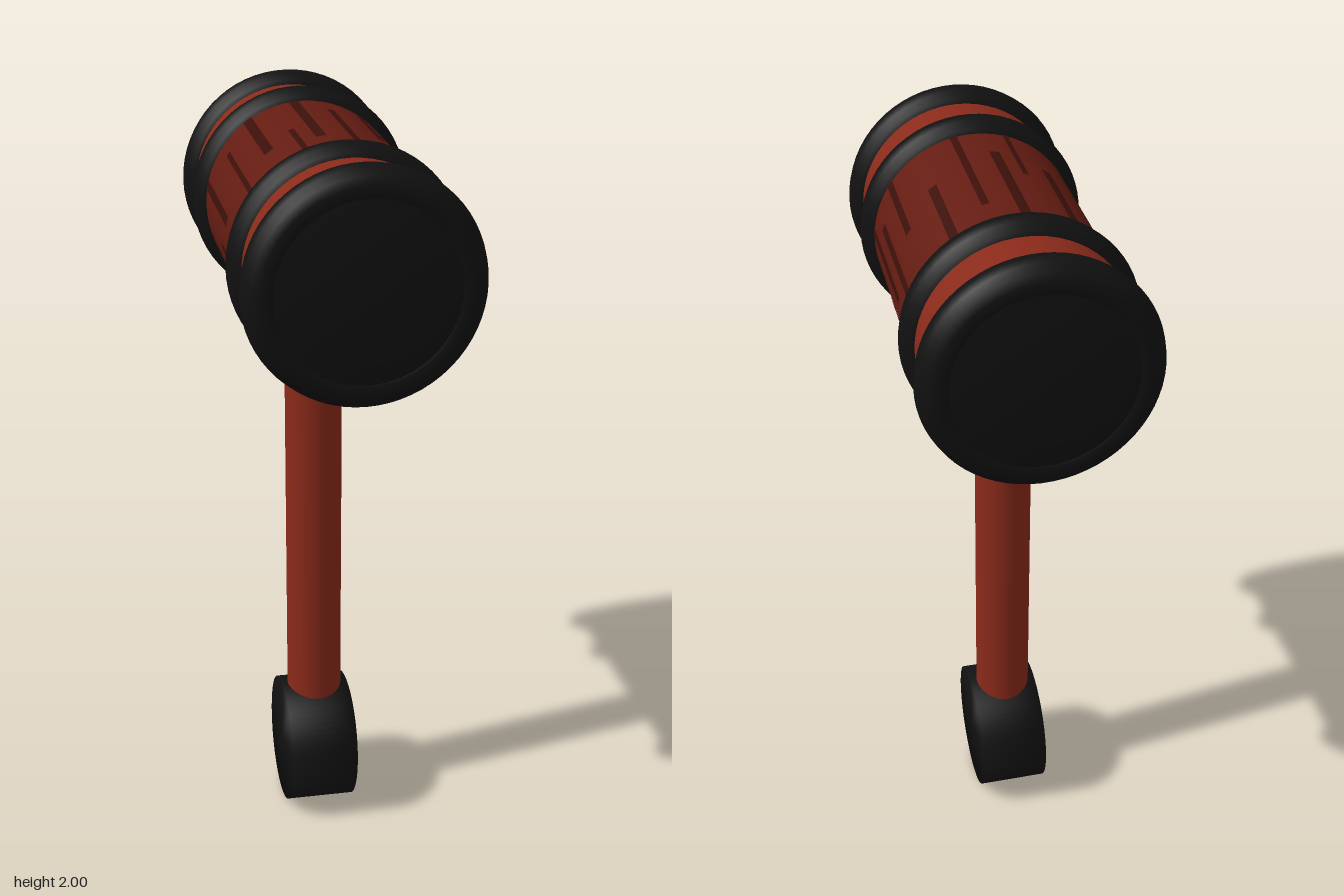
import * as THREE from 'three';

const HEAD_Y = 1.71;
const HEAD_R = 0.262;

const paint = (color) => new THREE.MeshStandardMaterial({ color });

function addMesh(parent, name, geometry, material) {
  const mesh = new THREE.Mesh(geometry, material);
  mesh.name = name;
  parent.add(mesh);
  return mesh;
}

// Closed solid of revolution around y from [radius, height] pairs
const turned = (pairs, sides = 64) =>
  new THREE.LatheGeometry(pairs.map(([r, y]) => new THREE.Vector2(r, y)), sides);

export function createModel() {
  const model = new THREE.Group();
  model.name = 'mallet';

  const wood = paint(0x8a2a1a);
  const darkWood = paint(0x641c12);
  const grain = paint(0x3c100a);
  const black = paint(0x111111);

  // Head, lying along z
  const head = new THREE.Group();
  head.name = 'head';
  head.position.y = HEAD_Y;
  model.add(head);

  const barrel = new THREE.CylinderGeometry(HEAD_R, HEAD_R, 1.08, 64, 1, true).rotateX(Math.PI / 2);
  addMesh(head, 'headBarrel', barrel, wood);

  const sleeve = new THREE.CylinderGeometry(HEAD_R + 0.001, HEAD_R + 0.001, 0.58, 64, 1, true).rotateX(Math.PI / 2);
  addMesh(head, 'headMiddle', sleeve, darkWood);

  // Dark grain streaks, spread unevenly around the middle
  const streaks = new THREE.Group();
  streaks.name = 'woodGrain';
  head.add(streaks);
  for (let i = 0; i < 20; i++) {
    const length = 0.22 + 0.2 * Math.abs(Math.sin(i * 2.3));
    const width = 0.05 + 0.05 * Math.abs(Math.sin(i * 1.7));
    const start = (i / 20) * Math.PI * 2 + 0.08 * Math.sin(i * 5.1);
    const r = HEAD_R + 0.0025;
    const streak = new THREE.CylinderGeometry(r, r, length, 4, 1, true, start, width).rotateX(Math.PI / 2);
    addMesh(streaks, 'grainStreak', streak, grain).position.z = (i % 2 ? 1 : -1) * (0.26 - length / 2);
  }

  // Rounded black bands and the end faces
  for (const side of [-1, 1]) {
    for (const z of [0.295, 0.5]) {
      const band = addMesh(head, z > 0.4 ? 'endBand' : 'innerBand',
        new THREE.TorusGeometry(0.24, 0.053, 14, 64), black);
      band.position.z = side * z;
    }
    const face = addMesh(head, 'endFace',
      turned([[0, -0.02], [0.245, -0.02], [0.245, 0.02], [0, 0.02]]), black);
    face.rotation.x = Math.PI / 2;
    face.position.z = side * 0.529;
  }

  // Handle, set slightly off centre
  const handle = addMesh(model, 'handle', new THREE.CylinderGeometry(0.076, 0.076, 1.3, 48), wood);
  handle.position.set(-0.027, 0.9, 0.018);

  // Drum-shaped pommel, slightly tilted, lying along x
  const R = 0.178;
  const H = 0.093;
  const pommel = addMesh(model, 'pommel', turned([[0, -H], [R, -H], [R, H], [0, H]]), black);
  pommel.rotation.z = -Math.PI / 2 - 0.02;
  pommel.position.set(-0.03, 0.181, 0.025);

  return model;
}
